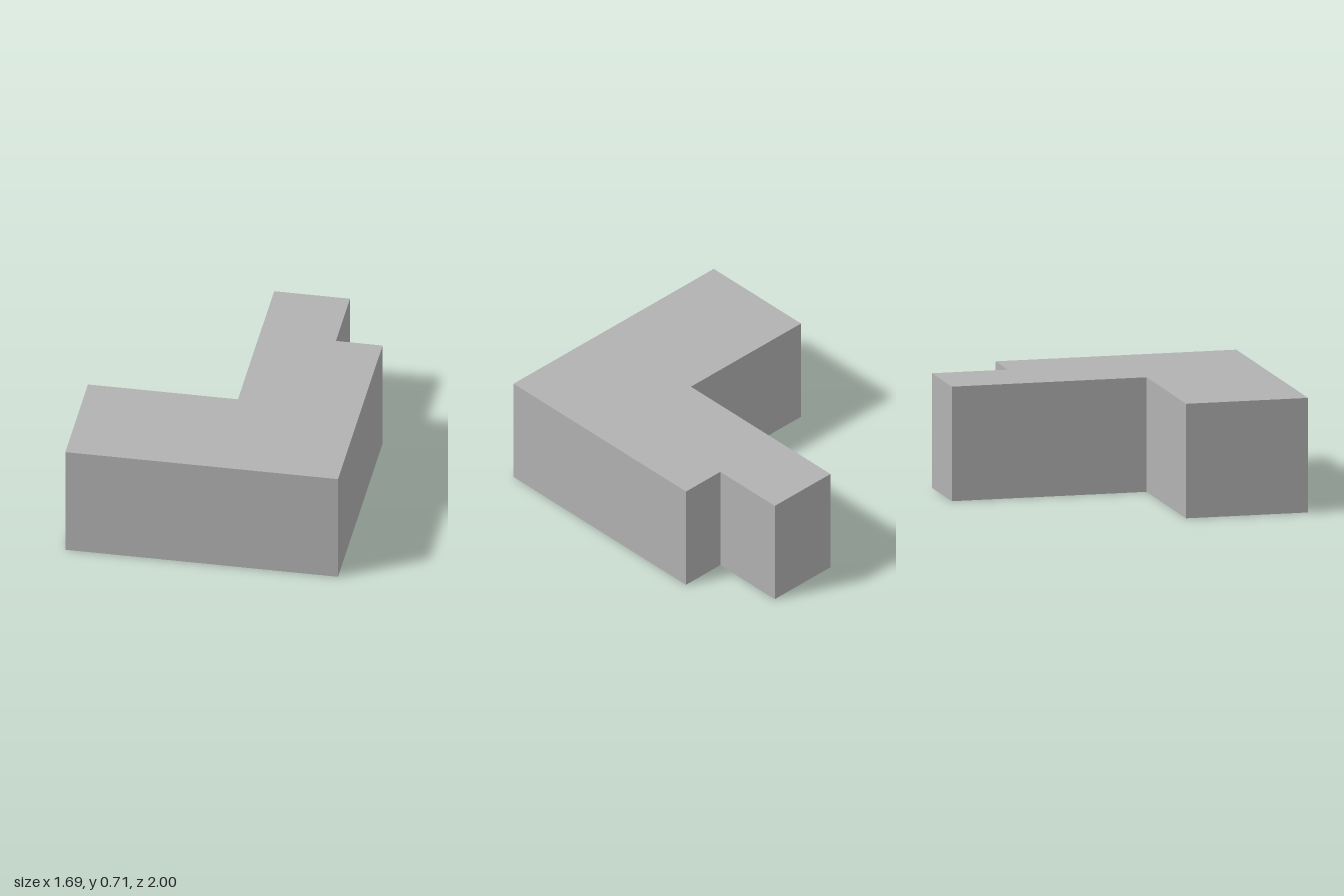
import * as THREE from 'three';

const HEIGHT = 0.71;

// Footprint corners as [x, z], counter-clockwise seen from above
const FOOTPRINT = [
  [-0.845, 1], [0.845, 1], [0.845, -0.52], [0.555, -0.52],
  [0.555, -1], [0.085, -1], [0.085, 0.23], [-0.845, 0.23],
];

// Moves every side of a right-angled outline inwards by d
function inset(points, d) {
  const n = points.length;
  return points.map(([x, z], i) => {
    const a = points[(i + n - 1) % n], b = points[(i + 1) % n];
    const u = [Math.sign(x - a[0]), Math.sign(z - a[1])];
    const v = [Math.sign(b[0] - x), Math.sign(b[1] - z)];
    // inward normal of direction (dx, dz) is (dz, -dx)
    return [x + d * (u[1] + v[1]), z - d * (u[0] + v[0])];
  });
}

const toVectors = (points) => points.map(([x, z]) => new THREE.Vector2(x, -z));

export function createModel() {
  const model = new THREE.Group();
  const grey = new THREE.MeshStandardMaterial({ color: 0xb2b2b2, side: THREE.DoubleSide });
  grey.name = 'plain grey';

  // Thin outer walls, one sheet per side
  const walls = new THREE.Group();
  walls.name = 'outerWalls';
  FOOTPRINT.forEach(([x, z], i) => {
    const [x2, z2] = FOOTPRINT[(i + 1) % FOOTPRINT.length];
    const wall = new THREE.Mesh(new THREE.PlaneGeometry(Math.hypot(x2 - x, z2 - z), HEIGHT), grey);
    wall.name = 'wall';
    wall.position.set((x + x2) / 2, HEIGHT / 2, (z + z2) / 2);
    wall.rotation.y = Math.atan2(z - z2, x2 - x);
    walls.add(wall);
  });
  model.add(walls);

  // Flat roof; the underside stays open
  const roof = new THREE.Mesh(new THREE.ShapeGeometry(new THREE.Shape(toVectors(FOOTPRINT))), grey);
  roof.name = 'roof';
  roof.rotation.x = -Math.PI / 2;
  roof.position.y = HEIGHT;
  model.add(roof);

  // Shallow raised band around the inside of the walls
  const ring = new THREE.Shape(toVectors(inset(FOOTPRINT, 0.002)));
  ring.holes.push(new THREE.Path(toVectors(inset(FOOTPRINT, 0.015))));
  const band = new THREE.Mesh(
    new THREE.ExtrudeGeometry(ring, { depth: 0.41, bevelEnabled: false }), grey);
  band.name = 'innerWallBand';
  band.rotation.x = -Math.PI / 2;
  band.position.y = 0.25;
  model.add(band);

  return model;
}
